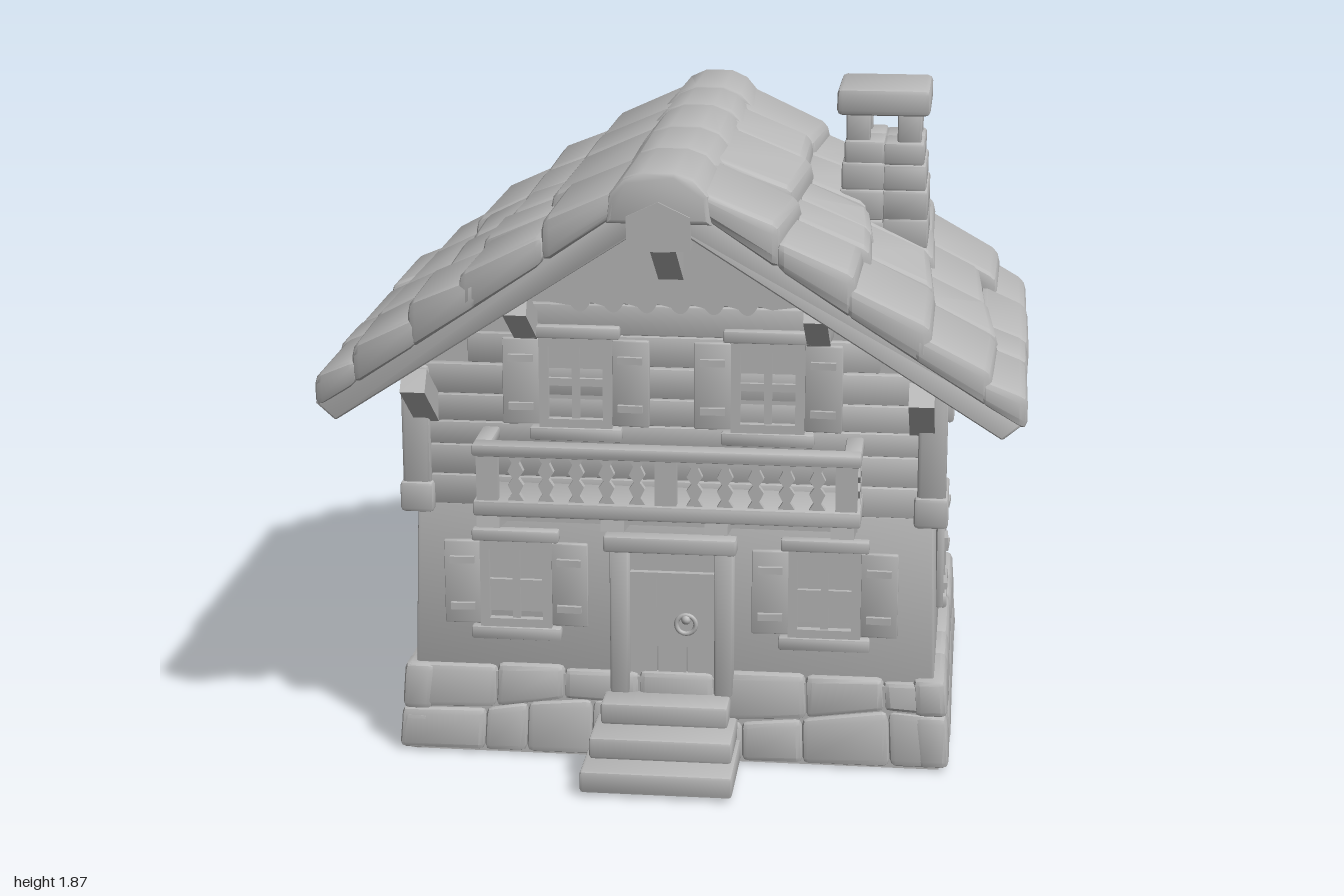
import * as THREE from 'three';
import { RoundedBoxGeometry } from 'three/addons/geometries/RoundedBoxGeometry.js';
import { toCreasedNormals } from 'three/addons/utils/BufferGeometryUtils.js';

const grey = new THREE.MeshStandardMaterial({ color: 0xb8b8b8 });
grey.name = 'plain grey';

let seed = 7;
const rnd = a => { seed = (seed * 16807) % 2147483647; return (seed / 2147483647 * 2 - 1) * a; };
const lerp = (a, b, t) => a + (b - a) * t;
const shape = pts => new THREE.Shape(pts.map(p => new THREE.Vector2(...p)));
const extrude = (s, depth) => new THREE.ExtrudeGeometry(s, { depth, bevelEnabled: false });

function add(parent, name, geo, x = 0, y = 0, z = 0) {
  const m = new THREE.Mesh(geo, grey);
  m.name = name;
  m.position.set(x, y, z);
  parent.add(m);
  return m;
}
function group(parent, name) {
  const g = new THREE.Group();
  g.name = name;
  parent.add(g);
  return g;
}
// Box given by its limits
const box = (p, name, x0, x1, y0, y1, z0, z1) =>
  add(p, name, new THREE.BoxGeometry(x1 - x0, y1 - y0, z1 - z0), (x0 + x1) / 2, (y0 + y1) / 2, (z0 + z1) / 2);
// Bevelled block of about w x h x d, mapped through f(a, b, c) with a, b, c in 0..1
function block(p, name, w, h, d, r, f) {
  const geo = new RoundedBoxGeometry(w, h, d, 1, r), q = geo.attributes.position;
  for (let i = 0; i < q.count; i++)
    q.setXYZ(i, ...f(q.getX(i) / w + 0.5, q.getY(i) / h + 0.5, q.getZ(i) / d + 0.5));
  return add(p, name, toCreasedNormals(geo, 0.55));
}
const bevelBox = (p, name, x0, x1, y0, y1, z0, z1, r = 0.01) => block(p, name, x1 - x0, y1 - y0, z1 - z0, r,
  (a, b, c) => [lerp(x0, x1, a), lerp(y0, y1, b), lerp(z0, z1, c)]);
// Beam from (z0, y0) to (z1, y1)
function brace(p, x, y0, z0, y1, z1, w = 0.07, t = 0.07) {
  const m = add(p, 'brace', new THREE.BoxGeometry(w, t, Math.hypot(y1 - y0, z1 - z0)), x, (y0 + y1) / 2, (z0 + z1) / 2);
  m.rotation.x = -Math.atan2(y1 - y0, z1 - z0);
}

const CZ = -0.035;                                  // centre of the walls in z
const under = x => 1.66 - 0.67 * x;                 // underside of the roof
const deck = x => 1.76 - 0.69 * x;                  // top of the roof boards
const tileBed = x => deck(x) + 0.13 * x * (1 - x);  // tiles bulge a little in the middle
const zFront = x => 0.84 - 0.14 * x * x;            // roof length along the slope
const zBack = x => 0.835 - 0.13 * x ** 4;
const roofZ = (x, t, inset) => t > 0 ? t * (zFront(x) - inset) : t * (zBack(x) - inset);

function windowUnit(parent, x, y, z, turn, shutter = 0.105) {
  const g = group(parent, 'window');
  g.position.set(x, y, z);
  g.rotation.y = turn;
  box(g, 'pane', -0.09, 0.09, -0.12, 0.12, -0.015, 0.003);
  for (const s of [-1, 1]) {
    box(g, 'frameSide', s * 0.09 - 0.013, s * 0.09 + 0.013, -0.13, 0.13, -0.015, 0.026);
    box(g, 'frameRail', -0.1, 0.1, s * 0.118 - 0.013, s * 0.118 + 0.013, -0.015, 0.026);
    const sh = group(g, 'shutter');
    sh.position.x = s * 0.103;
    sh.rotation.y = -s * 0.05;
    bevelBox(sh, 'shutterBoard', Math.min(0, s * shutter), Math.max(0, s * shutter), -0.125, 0.125, -0.005, 0.017, 0.005);
    for (const t of [-1, 1])
      box(sh, 'shutterBatten', s * shutter / 2 - 0.035, s * shutter / 2 + 0.035, t * 0.07 - 0.01, t * 0.07 + 0.01, 0.01, 0.03);
  }
  box(g, 'mullion', -0.011, 0.011, -0.11, 0.11, -0.01, 0.017);
  box(g, 'crossBar', -0.08, 0.08, -0.011, 0.011, -0.01, 0.016);
  bevelBox(g, 'lintel', -0.125, 0.125, 0.128, 0.163, -0.015, 0.03, 0.006);
  bevelBox(g, 'sill', -0.13, 0.13, -0.168, -0.13, -0.015, 0.033, 0.006);
}

function stoneBase(root) {
  const g = group(root, 'stoneBase');
  box(g, 'baseCore', -0.77, 0.77, 0, 0.25, CZ - 0.57, CZ + 0.57);
  for (let side = 0; side < 4; side++) {
    const wide = side % 2 === 0, half = wide ? 0.8 : 0.595, out = wide ? 0.595 : 0.8, n = wide ? 8 : 6;
    const wall = group(g, 'stoneRow');
    wall.position.z = CZ;
    wall.rotation.y = side * Math.PI / 2;
    // Wavy joint between the two rows
    const p = rnd(3), joint = x => 0.15 + 0.025 * Math.sin(x * 7 + p);
    for (let row = 0; row < 2; row++) {
      const count = n - row, cuts = [];
      for (let i = 0; i <= count; i++) cuts.push(-half + 2 * half * i / count + (i % count ? rnd(0.06) : 0));
      for (let i = 0; i < count; i++) {
        const x0 = cuts[i], x1 = cuts[i + 1], j = rnd(0.008), lean = rnd(0.025);
        block(wall, 'stone', x1 - x0, 0.13, 0.09, 0.018, (a, b, c) => {
          const x = lerp(x0, x1, a), y = row ? lerp(joint(x), 0.268 + j, b) : lerp(0.008, joint(x), b);
          const shift = lean * (b - 0.5) * 4 * a * (1 - a);
          return [(x + shift) * (1 - 0.09 * y), y, lerp(out - 0.09, out + j * 0.4, c) - 0.07 * y];
        });
      }
    }
  }
}

function walls(root) {
  const g = group(root, 'walls');
  block(g, 'plasterWall', 1.48, 0.5, 1.12, 0.01, (a, b, c) =>
    [lerp(-0.75, 0.75, a) * (1 - 0.02 * b), lerp(0.25, 0.755, b), CZ + lerp(-0.557, 0.557, c) * (1 - 0.02 * b)]);
  // Solid timber storey and gable
  const s = shape([[-0.72, 0.74], [0.72, 0.74], [0.72, 1.2], [0, 1.67], [-0.72, 1.2]]);
  add(g, 'gableCore', extrude(s, 1.06), 0, 0, CZ - 0.53);
  const rows = [0.75, 0.84, 0.93, 1.0, 1.08, 1.17, 1.26, 1.35, 1.44, 1.53];
  for (let i = 0; i < rows.length - 1; i++) {
    const y0 = rows[i], y1 = rows[i + 1] - 0.004, w = Math.min(0.73, (1.65 - y1) / 0.68);
    for (const f of [-1, 1]) {
      const z = CZ + f * (0.535 + rnd(0.004));
      bevelBox(g, 'gablePlank', -w, w, y0, y1, z - 0.02, z + 0.02, 0.005);
      if (y1 < 1.2) {
        const x = f * (0.725 + rnd(0.003));
        bevelBox(g, 'sidePlank', x - 0.02, x + 0.02, y0, y1, CZ - 0.53, CZ + 0.53, 0.005);
      }
    }
  }
  for (const sx of [-1, 1]) for (const sz of [-1, 1]) {
    const x = sx * 0.73, z = CZ + sz * 0.53;
    bevelBox(g, 'cornerBlock', x - 0.048, x + 0.048, 0.73, 0.82, z - 0.055, z + 0.055, 0.012);
    bevelBox(g, 'cornerPost', x - 0.04, x + 0.04, 0.81, 1.16, z - 0.045, z + 0.045, 0.01);
  }
  // Scalloped boards across both gables
  const p = new THREE.Shape();
  p.moveTo(-0.42, 1.37); p.lineTo(-0.28, 1.35);
  for (let i = 0; i < 6; i++) {
    const x = -0.28 + i * 0.56 / 6;
    p.quadraticCurveTo(x + 0.03, 1.31, x + 0.055, 1.36);
    p.lineTo(x + 0.56 / 6, 1.35);
  }
  p.lineTo(0.42, 1.37); p.lineTo(0, 1.65);
  const pg = extrude(p, 0.03);
  add(g, 'scallopBoard', pg, 0, 0, 0.515);
  add(g, 'scallopBoard', pg, 0, 0, -0.615);
}

function roof(root) {
  const g = group(root, 'roof');
  // Joints of the tiles along each column, for the right and left slopes
  const joints = {
    '1': [[-0.45, -0.1, 0.4], [-0.43, -0.04, 0.22, 0.48], [-0.38, -0.03, 0.38], [-0.38, 0.05, 0.38], [-0.38, 0.12, 0.4]],
    '-1': [[-0.43, -0.1, 0.39], [-0.41, -0.02, 0.22, 0.47], [-0.39, -0.03, 0.4], [-0.4, 0.04, 0.39], [-0.38, 0.12, 0.39]],
  };
  const cols = [0.08, 0.34, 0.52, 0.7, 0.88, 0.985];
  for (const s of [-1, 1]) {
    const side = a => (s > 0 ? a : 1 - a);
    block(g, 'roofBoards', 0.96, 0.09, 1.6, 0.005, (a, b, c) => {
      const x = lerp(0.93, 0.97, b) * side(a);
      return [s * x, lerp(under(x) + 0.02, deck(x), b), roofZ(x, 2 * c - 1, 0.04)];
    });
    for (const f of [-1, 1]) block(g, 'bargeBoard', 0.95, 0.1, 0.05, 0.006, (a, b, c) => {
      const x = lerp(0.92, 0.98, b) * side(a);
      return [s * x, lerp(under(x), deck(x) + 0.005, b), roofZ(x, f, 0.045) + lerp(-0.03, 0.03, c)];
    });
    // Overlapping stone tiles, tilted up at the lower end
    for (let i = 0; i < 5; i++) {
      const cuts = [-0.84, ...joints[s][i], 0.84];
      for (let k = 0; k < cuts.length - 1; k++) {
        const x0 = cols[i] - 0.03, x1 = cols[i + 1] + rnd(i < 4 ? 0.025 : 0.01), up = rnd(0.01), sk = i < 4 ? rnd(0.03) : 0;
        block(g, 'roofTile', x1 - x0, 0.08, cuts[k + 1] - cuts[k], 0.022, (a, b, c) => {
          const t = side(a), x = lerp(x0, x1 + sk * (c - 0.5), t);
          const z = roofZ(x, lerp(cuts[k], cuts[k + 1], c) / 0.84, 0.005);
          return [s * x, lerp(deck(x) - 0.015, tileBed(x) + lerp(0.035, 0.086 + up, t), b), z];
        });
      }
    }
  }
  // Arched ridge stones, each a little wider at one end
  const cuts = [-0.84, -0.51, -0.2, 0.16, 0.48, 0.84];
  for (let i = 0; i < 5; i++) {
    const flare = rnd(0.12), up = rnd(0.005), len = cuts[i + 1] - cuts[i] - 0.036;
    const arch = shape([[-0.125, 1.66], [0.125, 1.66], [0.118, 1.72], [0.085, 1.758], [0.04, 1.777 + up], [-0.04, 1.777 + up], [-0.085, 1.758], [-0.118, 1.72]]);
    const geo = new THREE.ExtrudeGeometry(arch, { depth: len, bevelThickness: 0.018, bevelSize: 0.014, bevelSegments: 2 });
    const q = geo.attributes.position;
    for (let k = 0; k < q.count; k++) q.setX(k, q.getX(k) * (1 + flare * (q.getZ(k) / len - 0.5)));
    add(g, 'ridgeStone', toCreasedNormals(geo, 0.55), 0, 0, cuts[i] + 0.018);
  }
  // Ridge beam ends
  const eg = extrude(shape([[-0.085, 1.58], [0, 1.575], [0.085, 1.58], [0.085, 1.67], [0, 1.71], [-0.085, 1.67]]), 0.08);
  add(g, 'ridgeEnd', eg, 0, 0, 0.765);
  add(g, 'ridgeEnd', eg, 0, 0, -0.85);
  // Braces under the gables and eaves
  for (const f of [0, 1]) {
    const end = group(g, 'gableBraces');
    end.rotation.y = f * Math.PI;
    const z = f ? 0.54 : 0.48;
    brace(end, 0, 1.43, z, 1.61, 0.76);
    for (const s of [-1, 1]) {
      brace(end, s * 0.41, 1.255, z, 1.39, 0.7, 0.065);
      brace(end, s * 0.7, 1.01, z, 1.16, 0.69);
    }
    const eave = group(g, 'eaveBraces');
    eave.rotation.y = f ? -Math.PI / 2 : Math.PI / 2;
    for (const q of [0.18, -0.2, -0.51]) brace(eave, f ? q : -q, 0.99, 0.7, 1.09, 0.87, 0.07, 0.05);
  }
}

function chimney(root) {
  const g = group(root, 'chimney');
  // Four blocks to a course: bottom, top, block width
  const courses = [[1.3, 1.4, 0.13], [1.395, 1.482, 0.13], [1.478, 1.572, 0.128], [1.565, 1.645, 0.122], [1.64, 1.71, 0.115]];
  for (const [y0, y1, r] of courses) for (const a of [-1, 1]) for (const b of [-1, 1]) {
    const x = 0.558 + a * r / 2, z = -0.205 + b * (r + 0.02) / 2, h = r / 2 + 0.002, k = h + 0.01;
    bevelBox(g, 'chimneyBlock', x - h, x + h, y0, y1 + rnd(0.004), z - k, z + k, 0.01);
  }
  for (const a of [-1, 1]) for (const b of [-1, 1])
    bevelBox(g, 'chimneyPost', 0.555 + a * 0.075 - 0.035, 0.555 + a * 0.075 + 0.035, 1.7, 1.8, -0.205 + b * 0.085 - 0.035, -0.205 + b * 0.085 + 0.035, 0.01);
  bevelBox(g, 'chimneyCap', 0.418, 0.69, 1.787, 1.866, -0.357, -0.055, 0.016);
}

function balcony(root) {
  const g = group(root, 'balcony');
  bevelBox(g, 'balconyFloor', -0.54, 0.54, 0.775, 0.82, 0.48, 0.7, 0.008);
  box(g, 'floorBeam', -0.53, 0.53, 0.752, 0.78, 0.48, 0.66);
  bevelBox(g, 'handrail', -0.54, 0.54, 0.95, 0.985, 0.645, 0.705, 0.008);
  for (const s of [-1, 1]) bevelBox(g, 'sideRail', s * 0.515 - 0.025, s * 0.515 + 0.025, 0.95, 0.985, 0.49, 0.66, 0.008);
  for (const x of [-0.5, 0, 0.5]) box(g, 'railPost', x - 0.03, x + 0.03, 0.81, 0.96, 0.66, 0.69);
  // Waisted flat balusters
  const half = [[0.026, 0], [0.01, 0.025], [0.022, 0.05], [0.008, 0.07], [0.022, 0.09], [0.01, 0.115], [0.026, 0.14]];
  const bg = extrude(shape([...half, ...half.map(([x, y]) => [-x, y]).reverse()]), 0.02);
  for (const s of [-1, 1]) {
    for (let i = 0; i < 5; i++) add(g, 'baluster', bg, s * (0.08 + i * 0.085), 0.815, 0.665);
    for (const z of [0.555, 0.615]) add(g, 'baluster', bg, s * 0.515, 0.815, z).rotation.y = s * Math.PI / 2;
  }
  for (const x of [-0.5, -0.15, 0.14, 0.49]) brace(g, x, 0.735, 0.49, 0.768, 0.68, 0.065, 0.06);
}

function entrance(root) {
  const g = group(root, 'entrance');
  box(g, 'door', -0.13, 0.13, 0.2, 0.63, 0.49, 0.52);
  for (const x of [-0.085, 0, 0.085]) box(g, 'doorPlank', x - 0.04, x + 0.04, 0.205, 0.55, 0.51, 0.527);
  box(g, 'doorLedge', -0.12, 0.12, 0.552, 0.57, 0.51, 0.538);
  for (const s of [-1, 1]) bevelBox(g, 'doorPost', s * 0.15 - 0.028, s * 0.15 + 0.028, 0.2, 0.64, 0.49, 0.55, 0.008);
  bevelBox(g, 'doorLintel', -0.195, 0.185, 0.632, 0.68, 0.49, 0.56, 0.008);
  add(g, 'knocker', new THREE.TorusGeometry(0.028, 0.007, 8, 20), 0.04, 0.415, 0.534);
  add(g, 'knob', new THREE.SphereGeometry(0.014, 12, 8), 0.04, 0.43, 0.536);
  [[-0.23, 0.2, 0.01, 0.83], [-0.215, 0.19, 0.075, 0.74], [-0.195, 0.17, 0.14, 0.64]].forEach(([x0, x1, y, z]) =>
    bevelBox(g, 'step', x0, x1, y, y + 0.065, 0.5, z, 0.01));
}

export function createModel() {
  const root = new THREE.Group();
  root.name = 'chalet';
  [stoneBase, walls, roof, chimney, balcony, entrance].forEach(build => build(root));
  const w = group(root, 'windows');
  windowUnit(w, -0.45, 0.52, 0.515, 0);
  windowUnit(w, 0.435, 0.52, 0.515, 0);
  for (const s of [-1, 1]) {
    windowUnit(w, s * 0.27, 1.125, 0.52, 0);
    windowUnit(w, s * 0.27, 1.125, -0.59, Math.PI);
    windowUnit(w, s * 0.45, 0.51, -0.583, Math.PI);
    windowUnit(w, s * 0.742, 0.5, -0.035, s * Math.PI / 2, 0.145);
  }
  // Narrow openings at the back
  for (const [x, y] of [[-0.1, 0.51], [0.1, 0.51], [0, 1.12]]) {
    bevelBox(w, 'slitFrame', x - 0.042, x + 0.042, y - 0.1, y + 0.1, -0.605, -0.56, 0.006);
    box(w, 'slitPane', x - 0.025, x + 0.025, y - 0.075, y + 0.075, -0.611, -0.6);
  }
  return root;
}
